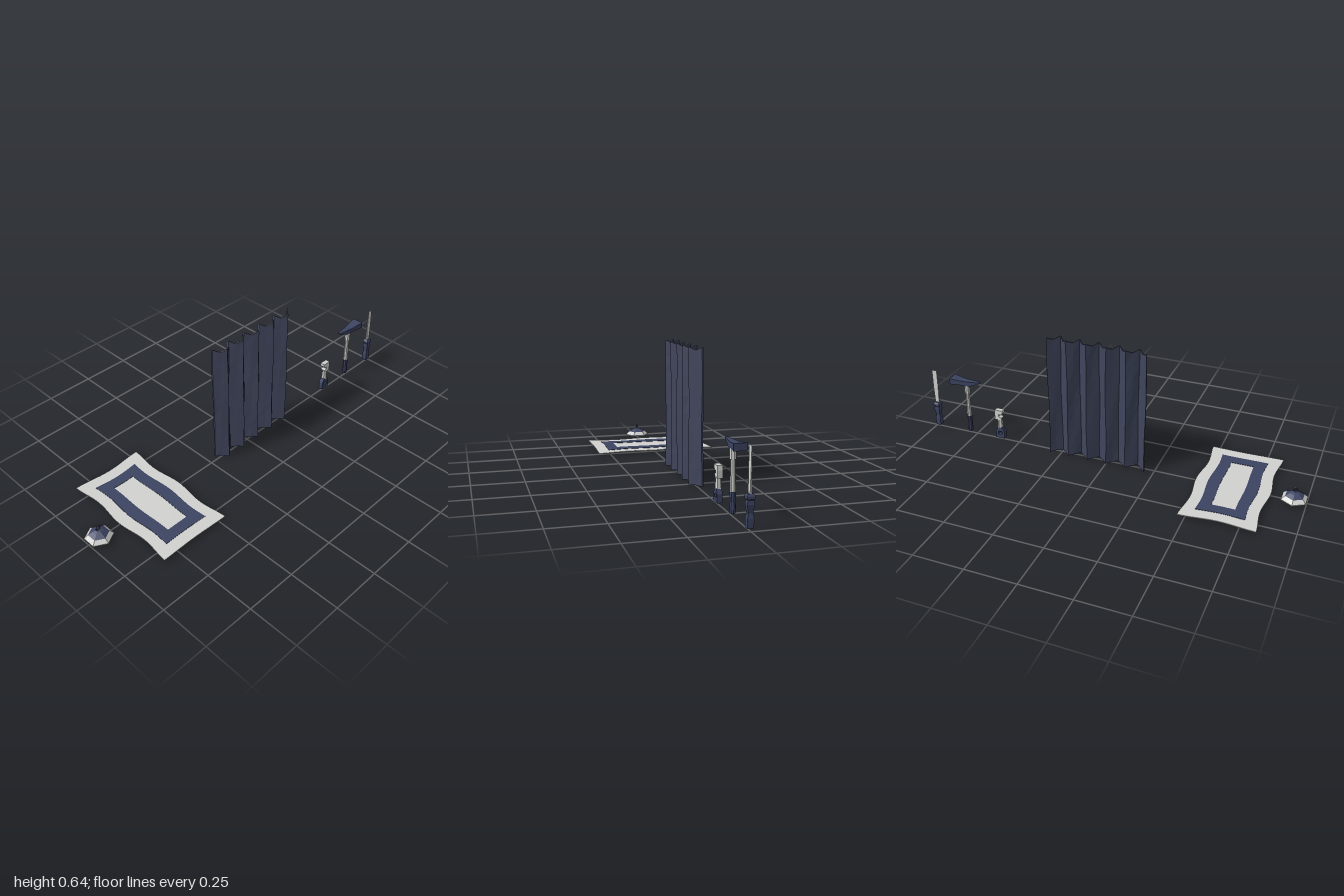
import * as THREE from 'three';

const mat = (name, color) => {
  const m = new THREE.MeshStandardMaterial({ color });
  m.name = name;
  return m;
};

export function createModel() {
  const curtainNavy = mat('curtain navy', 0x40455c);
  const navy = mat('navy', 0x3c4462);
  const light = mat('light grey', 0xd2d2d0);

  // Faceted mesh, optionally bent by a rule on each vertex
  const add = (parent, name, geometry, material, x = 0, y = 0, z = 0, rule) => {
    if (rule) {
      const p = geometry.attributes.position, v = new THREE.Vector3();
      for (let i = 0; i < p.count; i++) {
        rule(v.fromBufferAttribute(p, i));
        p.setXYZ(i, v.x, v.y, v.z);
      }
    }
    const g = geometry.index ? geometry.toNonIndexed() : geometry;
    g.computeVertexNormals();
    const mesh = new THREE.Mesh(g, material);
    mesh.name = name;
    mesh.position.set(x, y, z);
    parent.add(mesh);
    return mesh;
  };
  const root = new THREE.Group();
  const group = (name, x) => {
    const g = new THREE.Group();
    g.name = name;
    g.position.x = x;
    root.add(g);
    return g;
  };
  const lathe = (pts, sides, turn = 0) =>
    new THREE.LatheGeometry(pts.map(p => new THREE.Vector2(...p)), sides, turn);
  const plate = (pts, depth, hole) => {
    const s = new THREE.Shape(pts.map(p => new THREE.Vector2(...p)));
    if (hole) s.holes.push(new THREE.Path(hole.map(p => new THREE.Vector2(...p))));
    return new THREE.ExtrudeGeometry(s, { depth, bevelEnabled: false }).translate(0, 0, -depth / 2);
  };

  // Pleated curtain: a thin panel folded into ten facets
  const W = 0.51, H = 0.637;
  const curtain = group('curtain', 0.052);
  add(curtain, 'pleats', new THREE.BoxGeometry(W, H, 0.008, 20, 8, 1), curtainNavy, 0, 0.322, 0, v => {
    const k = Math.round((v.x / W + 0.5) * 20);
    const fold = [-1, 0, 1, 0][k % 4];
    const t = v.y / H + 0.5;
    v.z += fold * (0.024 + 0.0015 * Math.sin(t * 9 + k));
    v.x += 0.002 * Math.sin(t * 7 + k * 2);
    if (t > 0.99) v.y -= fold ? 0 : 0.014;
    if (t < 0.01) v.y -= fold ? 0.0025 : 0;
  });

  // Rug with uneven edges and a navy frame laid on top
  const rug = group('rug', -0.648);
  const warp = v => {
    v.y += 0.0012 * Math.sin(v.x * 12 + v.z * 9);
    const x = v.x;
    v.x += x / 0.175 * 0.008 * Math.cos(2 * Math.PI * v.z / 0.32);
    v.z += -v.z / 0.312 * (v.z < 0 ? 0.008 : 0.002) * Math.cos(2 * Math.PI * x / 0.36);
  };
  add(rug, 'rugCloth', new THREE.BoxGeometry(0.35, 0.004, 0.624, 14, 1, 28), light, 0, 0.0125, 0, warp);
  for (const s of [-1, 1]) {
    const side = new THREE.BoxGeometry(0.058, 0.004, 0.5, 4, 1, 28).translate(s * 0.088, 0, 0);
    add(rug, 'rugSideBand', side, navy, 0, 0.0142, 0, warp);
    const end = new THREE.BoxGeometry(0.118, 0.004, 0.056, 8, 1, 4).translate(0, 0, s * 0.222);
    add(rug, 'rugEndBand', end, navy, 0, 0.0142, 0, warp);
  }

  // Hexagonal lamp: pale rim, navy cap and base, hanging loop
  const lamp = group('lamp', -0.941);
  add(lamp, 'lampRim', lathe([[0.067, 0.013], [0.067, 0.017], [0.048, 0.034]], 6), light);
  add(lamp, 'lampCap', lathe([[0.048, 0.034], [0.026, 0.047], [0.012, 0.052], [0, 0.052]], 6), navy);
  add(lamp, 'lampBase', lathe([[0, 0.016], [0.06, 0.016], [0.067, 0.013]], 6), navy);
  add(lamp, 'lampBulb', new THREE.CylinderGeometry(0.012, 0.012, 0.004, 6), light, 0, 0.015);
  add(lamp, 'lampLoop', new THREE.TorusGeometry(0.01, 0.0035, 4, 8), navy, 0, 0.065);

  // Small spanner: holed grip, neck and a jaw open to the side
  const spanner = group('spanner', 0.605);
  add(spanner, 'spannerGrip', plate(
    [[-0.024, 0.011], [0.024, 0.011], [0.024, 0.05], [0.014, 0.073], [-0.014, 0.073], [-0.024, 0.05]], 0.024,
    [[-0.01, 0.03], [0.01, 0.03], [0.01, 0.049], [-0.01, 0.049]]), navy);
  add(spanner, 'spannerNeck', new THREE.CylinderGeometry(0.012, 0.015, 0.055, 6), light, 0.002, 0.098);
  add(spanner, 'spannerJaw', plate(
    [[-0.005, 0.118], [0.024, 0.118], [0.026, 0.152], [0.024, 0.174], [-0.02, 0.174],
      [-0.02, 0.158], [-0.012, 0.15], [0.002, 0.15], [0.002, 0.138], [-0.014, 0.132]], 0.025), light);

  // Hammer: head flares in both directions from the thin end
  const hammer = group('hammer', 0.79);
  add(hammer, 'hammerHead', plate(
    [[-0.078, 0.306], [-0.02, 0.284], [0.015, 0.287], [0.085, 0.286], [0.085, 0.318], [0.01, 0.31], [-0.078, 0.312]],
    0.058), navy, 0, 0, 0, v => { v.z *= 0.25 + 0.75 * (v.x + 0.078) / 0.163; });
  add(hammer, 'hammerNeck', new THREE.CylinderGeometry(0.015, 0.015, 0.05, 8), light, 0, 0.262);
  add(hammer, 'hammerShaft', new THREE.CylinderGeometry(0.01, 0.013, 0.14, 8), light, 0, 0.17);
  add(hammer, 'hammerGrip', lathe(
    [[0, 0.014], [0.012, 0.014], [0.014, 0.03], [0.012, 0.07], [0.014, 0.104], [0, 0.104]], 8), navy);

  // Chisel: flat blade tapering in thickness, square turned handle
  const chisel = group('chisel', 0.983);
  add(chisel, 'chiselBlade', new THREE.BoxGeometry(0.028, 0.19, 0.008, 1, 2, 1), light, 0, 0.238, 0, v => {
    v.z *= 0.55 - v.y * 4.4;
    if (v.y < -0.05) v.x *= 0.75;
  });
  const r = Math.SQRT2;
  add(chisel, 'chiselHandle', lathe(
    [[0, 0.012], [0.013, 0.012], [0.014, 0.05], [0.01, 0.07], [0.015, 0.105], [0.013, 0.122],
      [0.0165, 0.126], [0.0165, 0.138], [0.011, 0.147], [0, 0.147]].map(([a, b]) => [a * r, b]), 4, Math.PI / 4), navy);

  return root;
}
